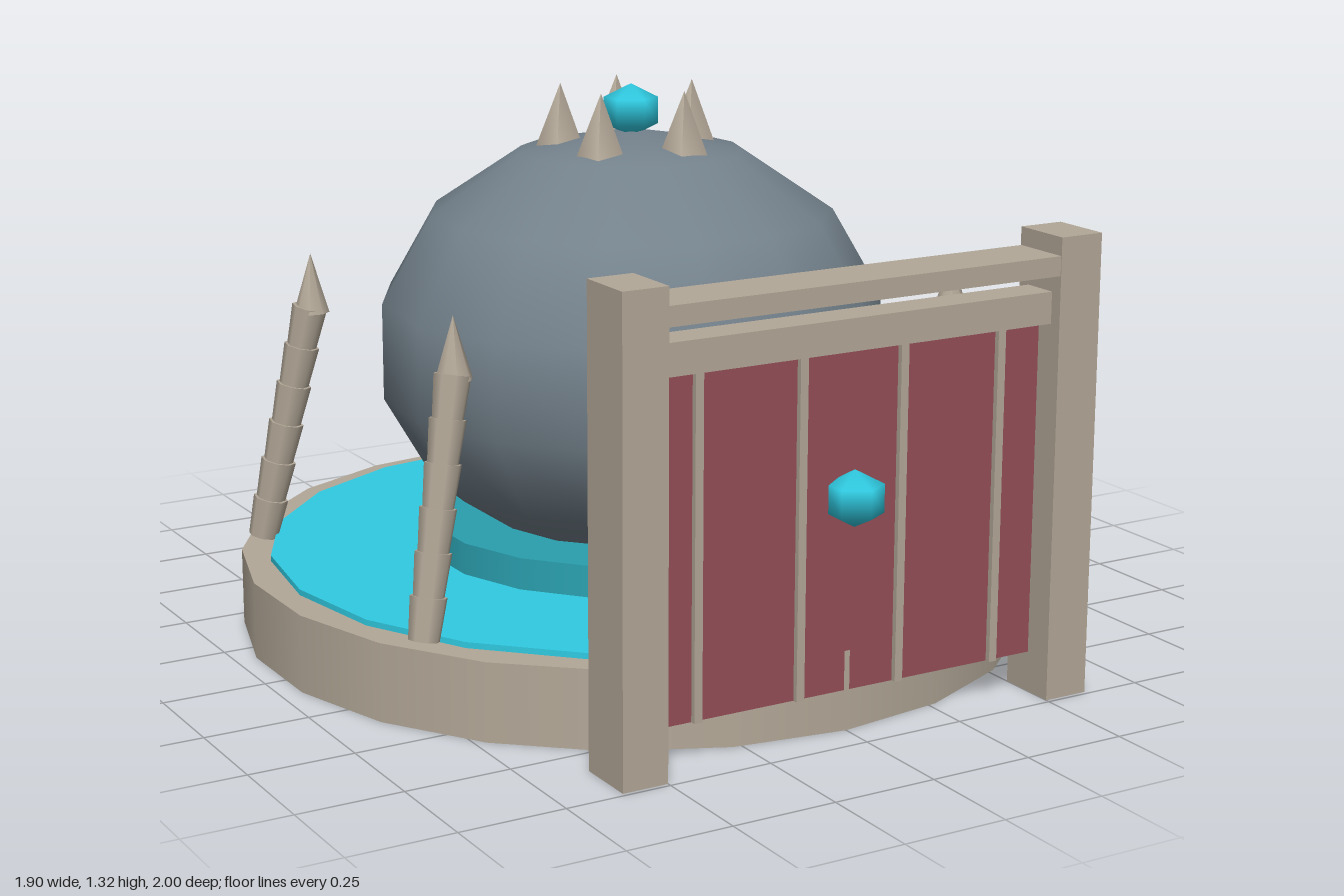
import * as THREE from 'three';

const mat = (color) => new THREE.MeshStandardMaterial({ color });
const stone = mat(0xb3a898), water = mat(0x30cbe2), teal = mat(0x2a9fae);
const slate = mat(0x74828c), doorRed = mat(0x944e58);
const CZ = -0.04; // z of the round court's centre

function add(parent, name, geometry, material, x = 0, y = 0, z = 0) {
  const mesh = new THREE.Mesh(geometry, material);
  mesh.name = name;
  mesh.position.set(x, y, z);
  parent.add(mesh);
  return mesh;
}

// Box given by its limits on each axis
function addBox(parent, name, material, x0, x1, y0, y1, z0, z1) {
  return add(parent, name, new THREE.BoxGeometry(x1 - x0, y1 - y0, z1 - z0), material,
    (x0 + x1) / 2, (y0 + y1) / 2, (z0 + z1) / 2);
}

// Squashed low-poly ball with a corner column facing the back
function ball(rx, ry, sides, rows) {
  const g = new THREE.SphereGeometry(rx, sides, rows);
  g.rotateY(-Math.PI / 2);
  g.scale(1, ry / rx, 1);
  return g;
}

// Leaning pillar of stacked flared drums with an upright spike; leans inward along -x
function createPillar() {
  const pillar = new THREE.Group();
  pillar.name = 'pillar';
  const drums = 6, foot = new THREE.Vector2(0.912, 0.195), head = new THREE.Vector2(0.782, 0.775);
  const lean = Math.atan2(foot.x - head.x, head.y - foot.y);
  const length = foot.distanceTo(head) / drums;
  const drum = new THREE.CylinderGeometry(0.043, 0.036, length, 8);
  for (let i = 0; i < drums; i++) {
    const p = foot.clone().lerp(head, (i + 0.5) / drums);
    add(pillar, 'pillarDrum', drum, stone, p.x, p.y, 0).rotation.z = lean;
  }
  add(pillar, 'pillarSpike', new THREE.ConeGeometry(0.043, 0.145, 8), stone, 0.777, 0.835, 0);
  return pillar;
}

function createGate() {
  const gate = new THREE.Group();
  gate.name = 'gate';
  for (const s of [-1, 1]) {
    addBox(gate, 'gatePost', stone, s * 0.555 - 0.055, s * 0.555 + 0.055, 0, 1.075, 0.843, 0.99);
  }
  addBox(gate, 'topBeam', stone, -0.5, 0.5, 0.988, 1.033, 0.845, 0.988);
  addBox(gate, 'lowerBeam', stone, -0.5, 0.5, 0.875, 0.948, 0.875, 0.96);
  addBox(gate, 'doorPanel', doorRed, -0.5, 0.5, 0.095, 0.885, 0.892, 0.917);
  for (const x of [-0.39, -0.13, 0.13, 0.39]) {
    addBox(gate, 'doorBatten', stone, x - 0.01, x + 0.01, 0.095, 0.885, 0.885, 0.93);
  }
  add(gate, 'doorGem', ball(0.075, 0.065, 6, 3), water, 0, 0.54, 0.935);
  return gate;
}

export function createModel() {
  const model = new THREE.Group();
  model.name = 'domedShrine';

  // Round court: slab, pool, plinth and dome
  const court = new THREE.Group();
  court.name = 'court';
  court.position.z = CZ;
  model.add(court);
  add(court, 'baseSlab', new THREE.CylinderGeometry(0.958, 0.958, 0.186, 22), stone, 0, 0.093, 0);
  add(court, 'pool', new THREE.CylinderGeometry(0.89, 0.89, 0.04, 20), water, 0, 0.18, 0);
  add(court, 'plinth', new THREE.CylinderGeometry(0.51, 0.515, 0.1, 18), teal, 0, 0.225, 0);
  add(court, 'dome', ball(0.623, 0.523, 15, 7), slate, 0, 0.692, 0);

  // Crown of spikes around a gem
  const spike = new THREE.ConeGeometry(0.062, 0.155, 5);
  spike.rotateY(Math.PI);
  for (let i = 0; i < 5; i++) {
    const a = (i / 5) * Math.PI * 2;
    add(court, 'crownSpike', spike, stone, 0.17 * Math.cos(a), 1.243, 0.17 * Math.sin(a));
  }
  add(court, 'crownGem', ball(0.075, 0.064, 6, 3), water, 0, 1.258, 0);

  // Ring of six pillars
  for (let i = 0; i < 6; i++) {
    const pillar = createPillar();
    pillar.rotation.y = Math.PI / 6 + (i * Math.PI) / 3;
    court.add(pillar);
  }

  model.add(createGate());
  return model;
}
